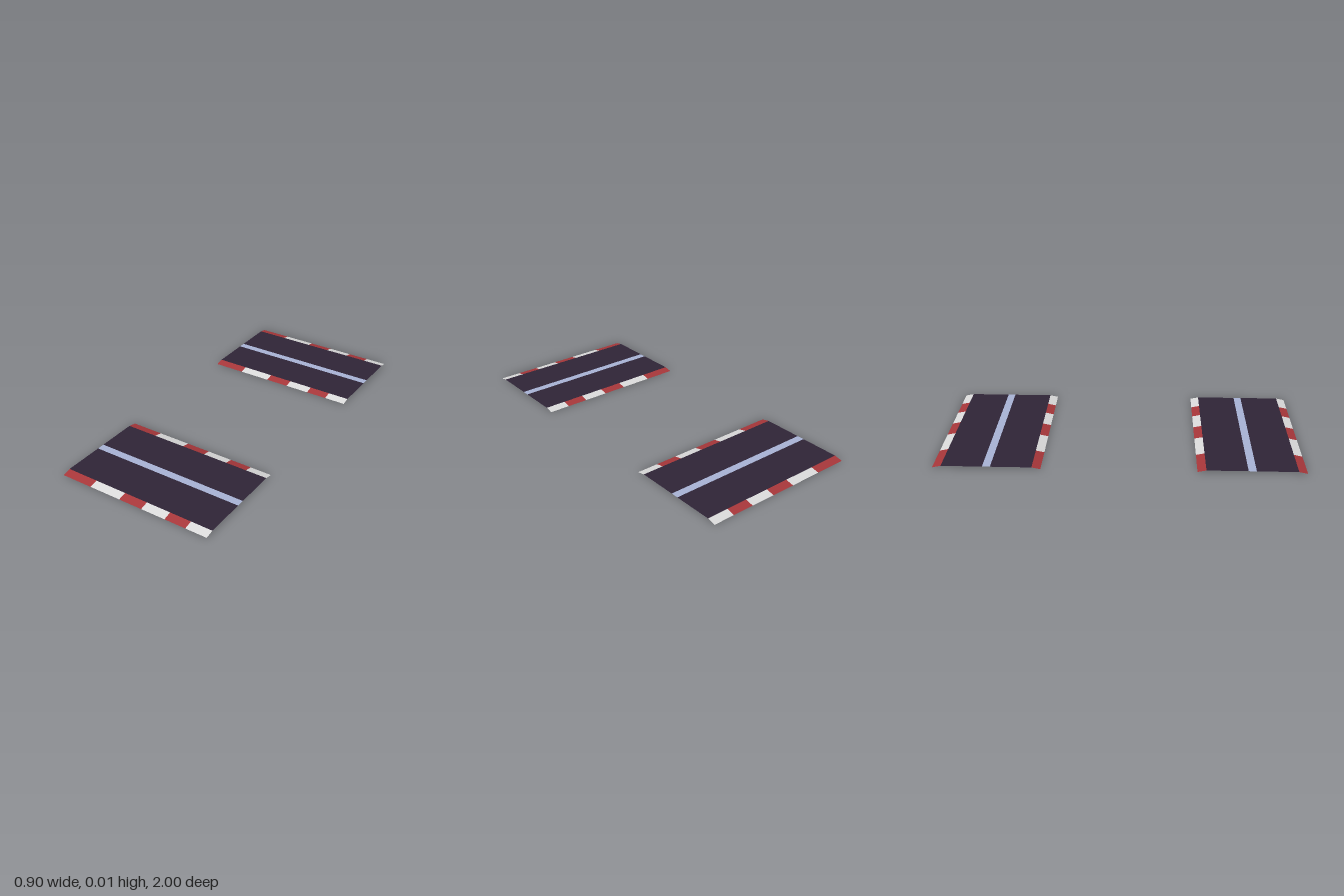
import * as THREE from 'three';

const flat = (name, color) => {
  const m = new THREE.MeshStandardMaterial({ color, side: THREE.DoubleSide });
  m.name = name;
  return m;
};

// Upward-facing sheet spanning x0..x1, from (zBack, yBack) to (zFront, yFront)
function sheet(name, material, x0, x1, [zBack, yBack], [zFront, yFront]) {
  const geo = new THREE.BufferGeometry();
  geo.setAttribute('position', new THREE.Float32BufferAttribute([
    x0, yBack, zBack, x0, yFront, zFront, x1, yFront, zFront, x1, yBack, zBack,
  ], 3));
  geo.setIndex([0, 1, 2, 0, 2, 3]);
  geo.computeVertexNormals();
  const mesh = new THREE.Mesh(geo, material);
  mesh.name = name;
  return mesh;
}

export function createModel() {
  const asphalt = flat('asphalt', 0x2f2437);
  const paint = flat('pale blue paint', 0xa9b4d6);
  const red = flat('kerb red', 0xa8373a);
  const white = flat('kerb white', 0xdcdcdc);

  const half = 0.452;   // half length in x
  const top = 0.01;     // road height
  const line = 0.0215;  // half width of centre line
  const road = 0.244;   // half width of asphalt
  const edge = 0.291;   // half width including kerbs
  const breaks = [-half, -0.267, -0.078, 0.061, 0.204, 0.328, half];

  const model = new THREE.Group();
  model.name = 'roadSections';

  for (const [name, z] of [['backRoad', -0.709], ['frontRoad', 0.709]]) {
    const section = new THREE.Group();
    section.name = name;
    section.position.z = z;

    // Two lanes with the centre line between them
    section.add(
      sheet('backLane', asphalt, -half, half, [-road, top], [-line, top]),
      sheet('centreLine', paint, -half, half, [-line, top], [line, top]),
      sheet('frontLane', asphalt, -half, half, [line, top], [road, top]),
    );

    // Kerbs slope down to the ground, in alternating red and white blocks
    for (let i = 0; i < breaks.length - 1; i++) {
      const material = i % 2 ? white : red;
      section.add(
        sheet('backKerb', material, breaks[i], breaks[i + 1], [-edge, 0], [-road, top]),
        sheet('frontKerb', material, breaks[i], breaks[i + 1], [road, top], [edge, 0]),
      );
    }
    model.add(section);
  }
  return model;
}
